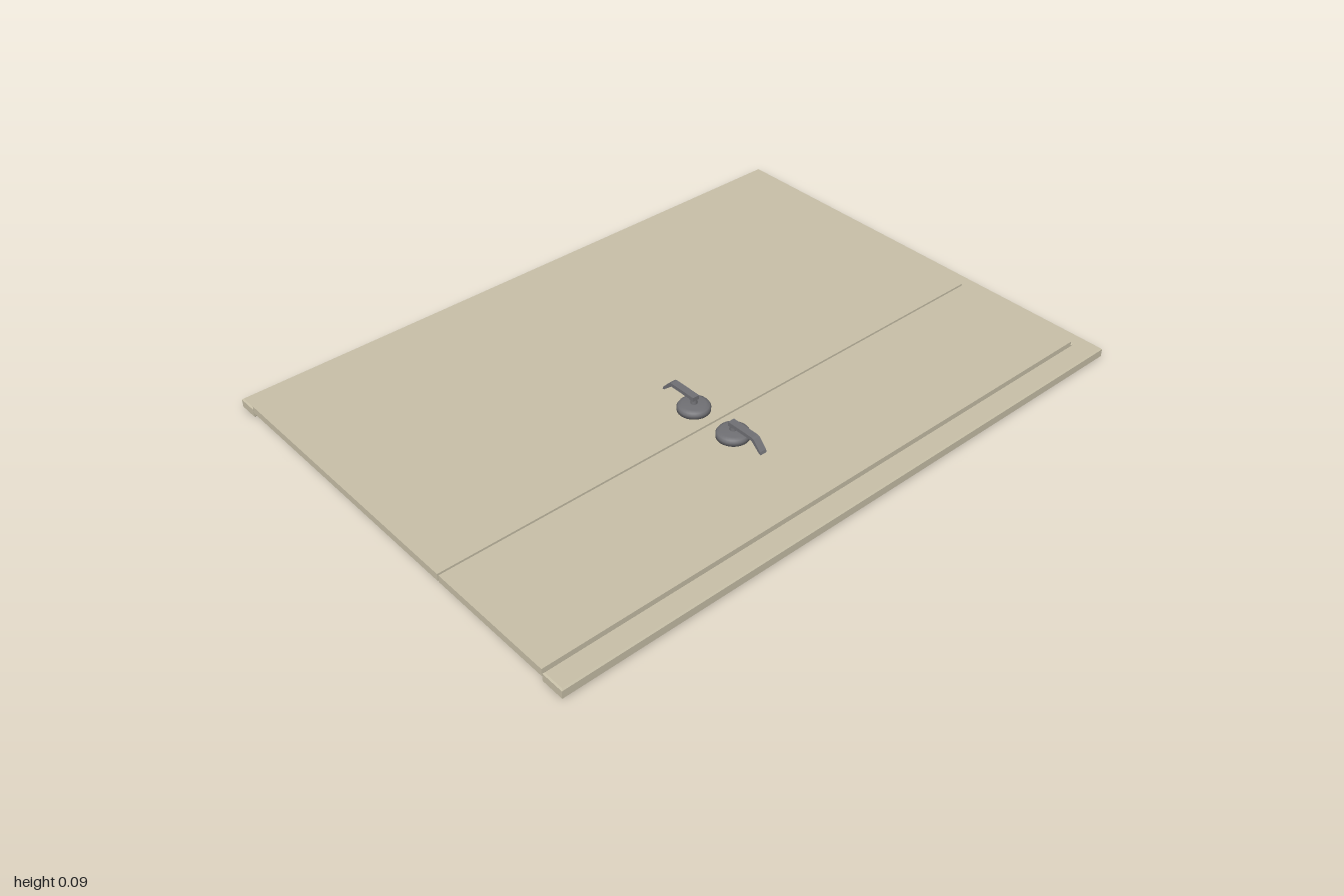
import * as THREE from 'three';

const paint = new THREE.MeshStandardMaterial({ color: 0xc8c0a8 });
paint.name = 'beige paint';
const metal = new THREE.MeshStandardMaterial({ color: 0x707074 });
metal.name = 'grey metal';

const SEAM = 0.238; // z of the gap between the leaves
const HANDLE_X = -0.095;

function add(parent, name, geometry, material) {
  const mesh = new THREE.Mesh(geometry, material);
  mesh.name = name;
  parent.add(mesh);
  return mesh;
}

// Box given by its limits on each axis
function slab(parent, name, x0, x1, y0, y1, z0, z1) {
  const mesh = add(parent, name, new THREE.BoxGeometry(x1 - x0, y1 - y0, z1 - z0), paint);
  mesh.position.set((x0 + x1) / 2, (y0 + y1) / 2, (z0 + z1) / 2);
}

// Three-sided frame, open at -x, with softened edges
function addFrame(parent) {
  const b = 0.004;
  const outline = [[-1, -0.724], [1 - b, -0.724 + b], [1 - b, 0.724 - b], [-1, 0.724],
    [-1, 0.652], [0.95, 0.652], [0.95, -0.662], [-1, -0.662]];
  outline[0] = [-1 + b, -0.724 + b];
  outline[3] = [-1 + b, 0.724 - b];
  outline[4] = [-1 + b, 0.652 + b];
  outline[5] = [0.95 + b, 0.652 + b];
  outline[6] = [0.95 + b, -0.662 - b];
  outline[7] = [-1 + b, -0.662 - b];
  // Shape y becomes -z once the frame is laid flat
  const shape = new THREE.Shape(outline.map(([x, z]) => new THREE.Vector2(x, -z)));
  const geometry = new THREE.ExtrudeGeometry(shape, {
    depth: 0.032 - 2 * b, bevelEnabled: true, bevelSize: b, bevelThickness: b, bevelSegments: 1,
  });
  geometry.rotateX(-Math.PI / 2).translate(0, b, 0);
  add(parent, 'frame', geometry, paint);
}

// Lever handle pointing along local +z from its round rose
function makeHandle() {
  const handle = new THREE.Group();
  const rose = [[0, 0], [0.048, 0], [0.048, 0.012], [0.044, 0.018], [0.034, 0.022], [0, 0.023]];
  add(handle, 'rose', new THREE.LatheGeometry(rose.map(([r, y]) => new THREE.Vector2(r, y)), 28), metal);
  const neck = add(handle, 'neck', new THREE.CylinderGeometry(0.008, 0.01, 0.03, 16), metal);
  neck.position.y = 0.033;

  // Side profile of the bent lever as [z, y]
  const profile = [[-0.009, 0.036], [0.008, 0.036], [0.008, 0.038], [0.082, 0.038], [0.112, 0.012],
    [0.119, 0.011], [0.116, 0.019], [0.09, 0.047], [0.083, 0.049], [-0.009, 0.049]];
  const shape = new THREE.Shape(profile.map(([z, y]) => new THREE.Vector2(z, y)));
  const geometry = new THREE.ExtrudeGeometry(shape, { depth: 0.022, bevelEnabled: false });
  geometry.translate(0, 0, -0.011).rotateY(-Math.PI / 2);
  add(handle, 'lever', geometry, metal);
  return handle;
}

export function createModel() {
  const model = new THREE.Group();
  model.name = 'double door';
  addFrame(model);

  // Wide and narrow leaves, raised clear of the frame's underside
  slab(model, 'wideLeaf', -1, 0.948, 0.018, 0.041, -0.66, SEAM - 0.003);
  slab(model, 'narrowLeaf', -1, 0.948, 0.018, 0.041, SEAM + 0.003, 0.65);

  // Handles mirrored either side of the seam
  for (const side of [1, -1]) {
    const handle = makeHandle();
    handle.name = side > 0 ? 'narrowLeafHandle' : 'wideLeafHandle';
    handle.position.set(HANDLE_X, 0.04, SEAM + side * 0.079);
    if (side < 0) handle.rotation.y = Math.PI;
    model.add(handle);
  }
  return model;
}
